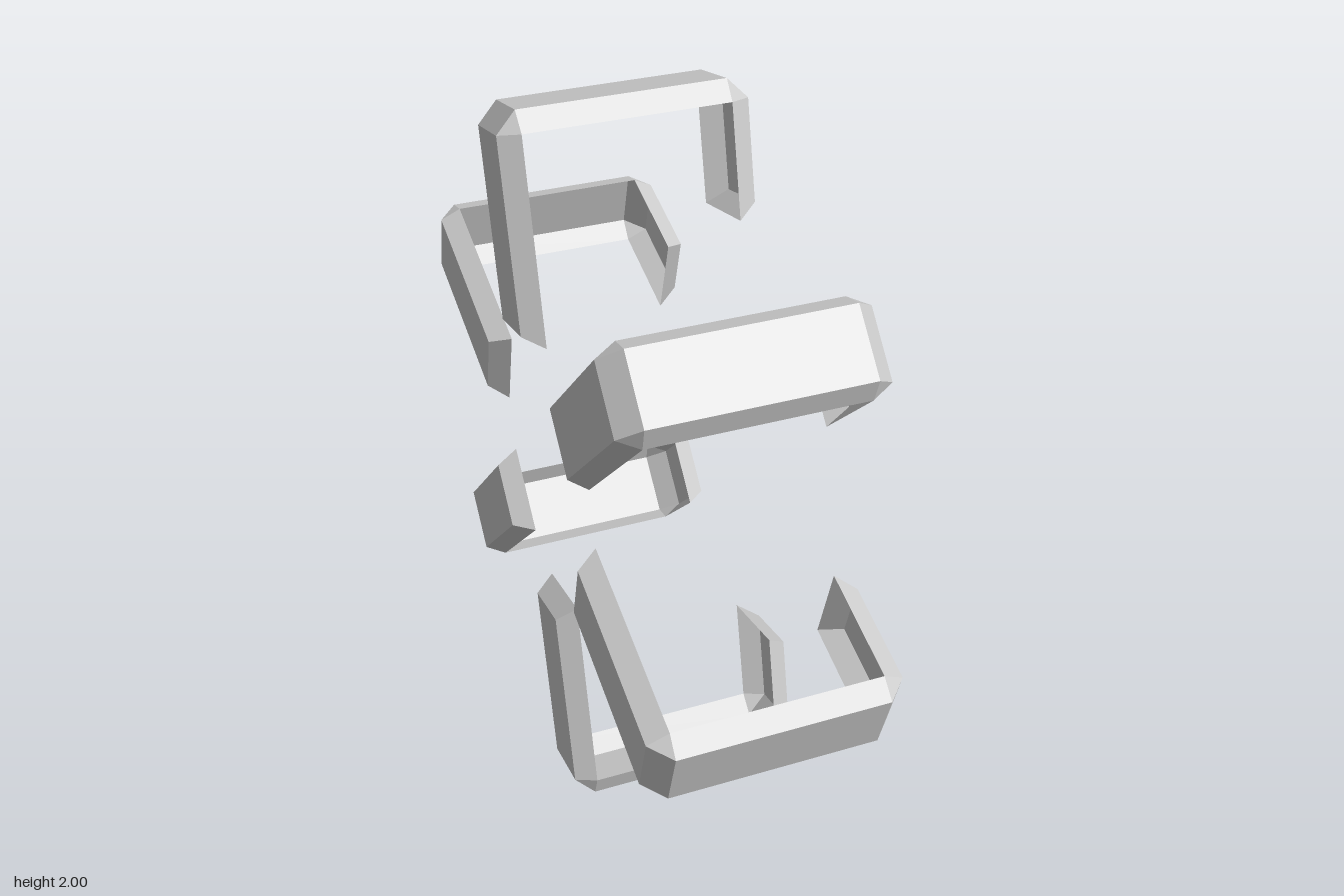
import * as THREE from 'three';

// Open, flared channel bent into a U: [x, radius] stations from the long arm's tip,
// over the crossbar, to the short arm's tip.
const OUTER = [[-0.343, 0.42], [-0.343, 0.952], [-0.287, 1.01], [0.287, 1.01], [0.343, 0.952], [0.343, 0.672]];
const RIM = [[-0.285, 0.385], [-0.285, 0.952], [-0.285, 0.952], [0.285, 0.952], [0.285, 0.952], [0.285, 0.636]];
const OUTER_HALF = 0.094;
const RIM_HALF = 0.127;

function bracketGeometry() {
  const positions = [];
  const triangle = (a, b, c) => {
    if (new THREE.Triangle(a, b, c).getArea() > 1e-7) {
      for (const p of [a, b, c]) positions.push(p.x, p.y, p.z);
    }
  };
  const quad = (a, b, c, d) => { triangle(a, b, c); triangle(a, c, d); };
  const outer = (i, side) => new THREE.Vector3(...OUTER[i], side * OUTER_HALF);
  const rim = (i, side) => new THREE.Vector3(...RIM[i], side * RIM_HALF);

  const last = OUTER.length - 1;
  for (let i = 0; i < last; i++) {
    const j = i + 1;
    quad(outer(i, 1), outer(j, 1), outer(j, -1), outer(i, -1)); // outer face
    quad(rim(i, 1), rim(j, 1), outer(j, 1), outer(i, 1)); // flared sides
    quad(outer(i, -1), outer(j, -1), rim(j, -1), rim(i, -1));
  }
  // Flared end walls
  quad(rim(0, 1), outer(0, 1), outer(0, -1), rim(0, -1));
  quad(rim(last, -1), outer(last, -1), outer(last, 1), rim(last, 1));

  const geometry = new THREE.BufferGeometry();
  geometry.setAttribute('position', new THREE.Float32BufferAttribute(positions, 3));
  geometry.computeVertexNormals();
  return geometry;
}

export function createModel() {
  const model = new THREE.Group();
  model.name = 'bracketRing';
  const geometry = bracketGeometry();
  const material = new THREE.MeshStandardMaterial({ color: 0xcccccc, flatShading: true, side: THREE.DoubleSide });

  // Six brackets around the x axis
  for (let i = 0; i < 6; i++) {
    const bracket = new THREE.Mesh(geometry, material);
    bracket.name = `bracket${i + 1}`;
    bracket.position.y = 1;
    bracket.rotation.x = THREE.MathUtils.degToRad(-15 + 60 * i);
    model.add(bracket);
  }
  return model;
}
